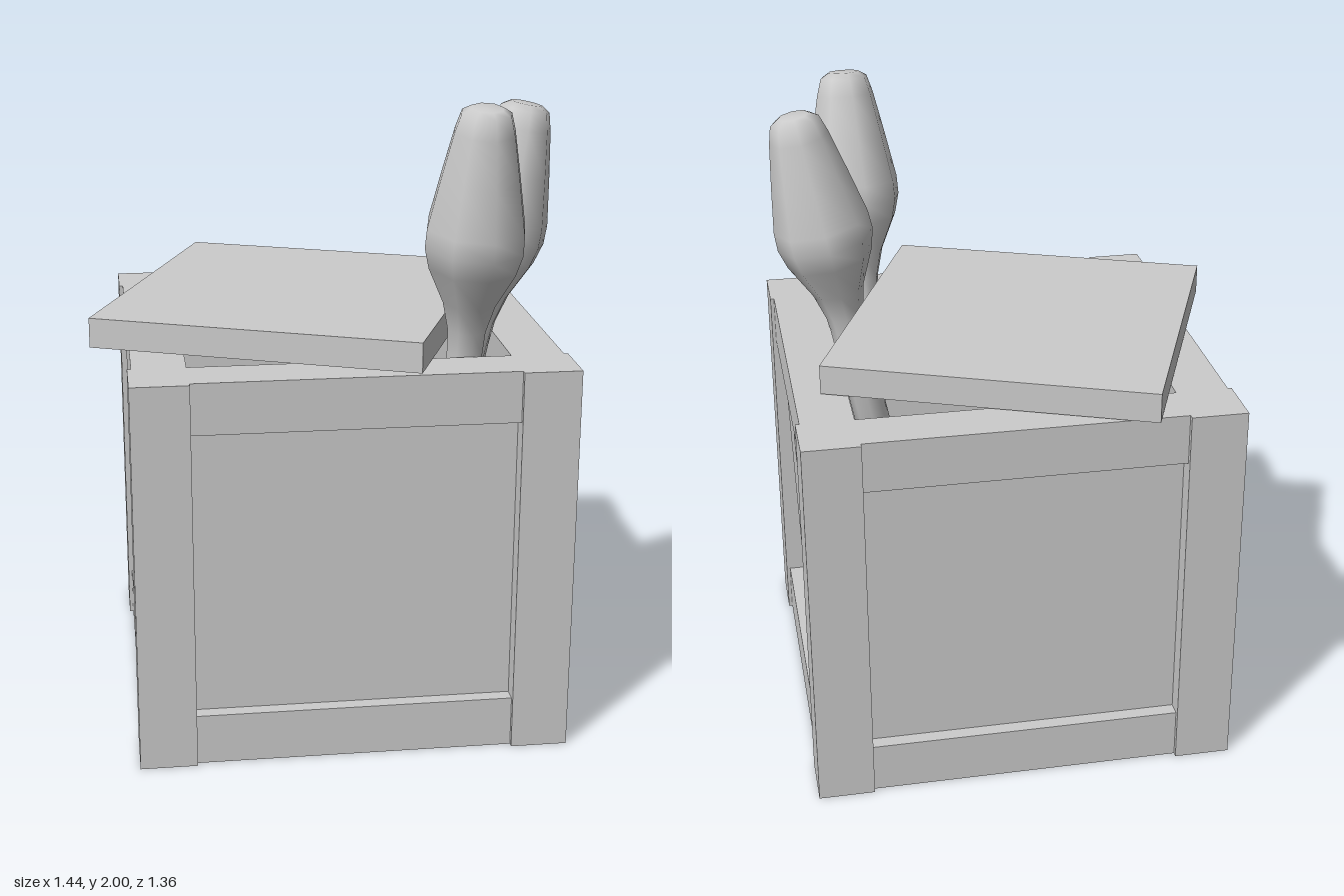
import * as THREE from 'three';

const material = new THREE.MeshStandardMaterial({ color: 0xcccccc });

// Box given by its minimum and maximum corner
function box(parent, name, [x0, y0, z0], [x1, y1, z1]) {
  const mesh = new THREE.Mesh(new THREE.BoxGeometry(x1 - x0, y1 - y0, z1 - z0), material);
  mesh.name = name;
  mesh.position.set((x0 + x1) / 2, (y0 + y1) / 2, (z0 + z1) / 2);
  parent.add(mesh);
  return mesh;
}

// Crate frame, measured from the crate's own centre
const W = 0.668, D = 0.665, H = 1.23; // half width, half depth, height
const IX = 0.492, IZ = 0.487;         // half size of the opening
const RAIL = 0.16, STEP = 0.017, INSET = 0.062;

function createCrate() {
  const crate = new THREE.Group();
  crate.name = 'crate';
  for (const s of [-1, 1]) {
    // Corner posts
    for (const t of [-1, 1]) {
      const post = box(crate, 'cornerPost', [IX, 0, IZ], [W, H, D]);
      post.position.x *= s;
      post.position.z *= t;
    }
    // Top and bottom rails
    for (const y of [0, H - RAIL]) {
      box(crate, 'endRail', [-IX, y, IZ], [IX, y + RAIL, D - STEP]).position.z *= s;
      box(crate, 'sideRail', [IX, y, -IZ], [W - STEP + 0.005, y + RAIL, IZ]).position.x *= s;
    }
    // Recessed panels
    box(crate, 'endPanel', [-IX, RAIL, IZ], [IX, H - RAIL, D - INSET]).position.z *= s;
    box(crate, 'sidePanel', [IX, RAIL, -IZ], [W - INSET, H - RAIL, IZ]).position.x *= s;

    // Diagonal brace on each side, high at the front
    const outline = [[IZ, 1.045], [IZ, 1.07], [0.265, 1.07], [-IZ, 0.185], [-IZ, 0.16], [-0.255, 0.16]];
    const shape = new THREE.Shape(outline.map(([z, y]) => new THREE.Vector2(-z, y)));
    const depth = 0.03;
    const brace = new THREE.Mesh(new THREE.ExtrudeGeometry(shape, { depth, bevelEnabled: false }), material);
    brace.name = 'diagonalBrace';
    brace.rotation.y = Math.PI / 2;
    brace.position.x = s > 0 ? W - INSET : -(W - INSET) - depth;
    crate.add(brace);
  }
  box(crate, 'floor', [-IX, 0, -IZ], [IX, RAIL, IZ]);
  crate.position.set(0.052, 0, 0.013);
  return crate;
}

// Leaning eight-sided club: narrow handle, swelling body, blunt top
function createClub(base, lean, phase) {
  const profile = [
    [0, -0.35], [0.058, -0.35], [0.058, 0], [0.062, 0.08], [0.085, 0.17], [0.14, 0.285],
    [0.157, 0.35], [0.155, 0.41], [0.125, 0.56], [0.095, 0.7], [0.078, 0.755], [0.05, 0.772], [0, 0.773],
  ].map(([r, y]) => new THREE.Vector2(r, y));
  const club = new THREE.Mesh(new THREE.LatheGeometry(profile, 8, phase), material);
  club.name = 'club';
  club.position.set(...base);
  club.quaternion.setFromUnitVectors(new THREE.Vector3(0, 1, 0), new THREE.Vector3(...lean).normalize());
  return club;
}

export function createModel() {
  const model = new THREE.Group();
  model.name = 'crateWithClubs';
  model.add(createCrate());

  // Lid lying askew on the crate
  const lid = box(model, 'lid', [-0.519, 1.237, -0.518], [0.519, 1.33, 0.518]);
  lid.position.x = -0.048;
  lid.position.z = -0.006;
  lid.rotation.y = -0.382;

  // Clubs sticking out of the open corner
  model.add(createClub([0.412, 1.23, 0.44], [0.03, 1, 0.155], 0.17));
  model.add(createClub([0.478, 1.195, 0.222], [0.2, 1, 0.01], 0));
  return model;
}
